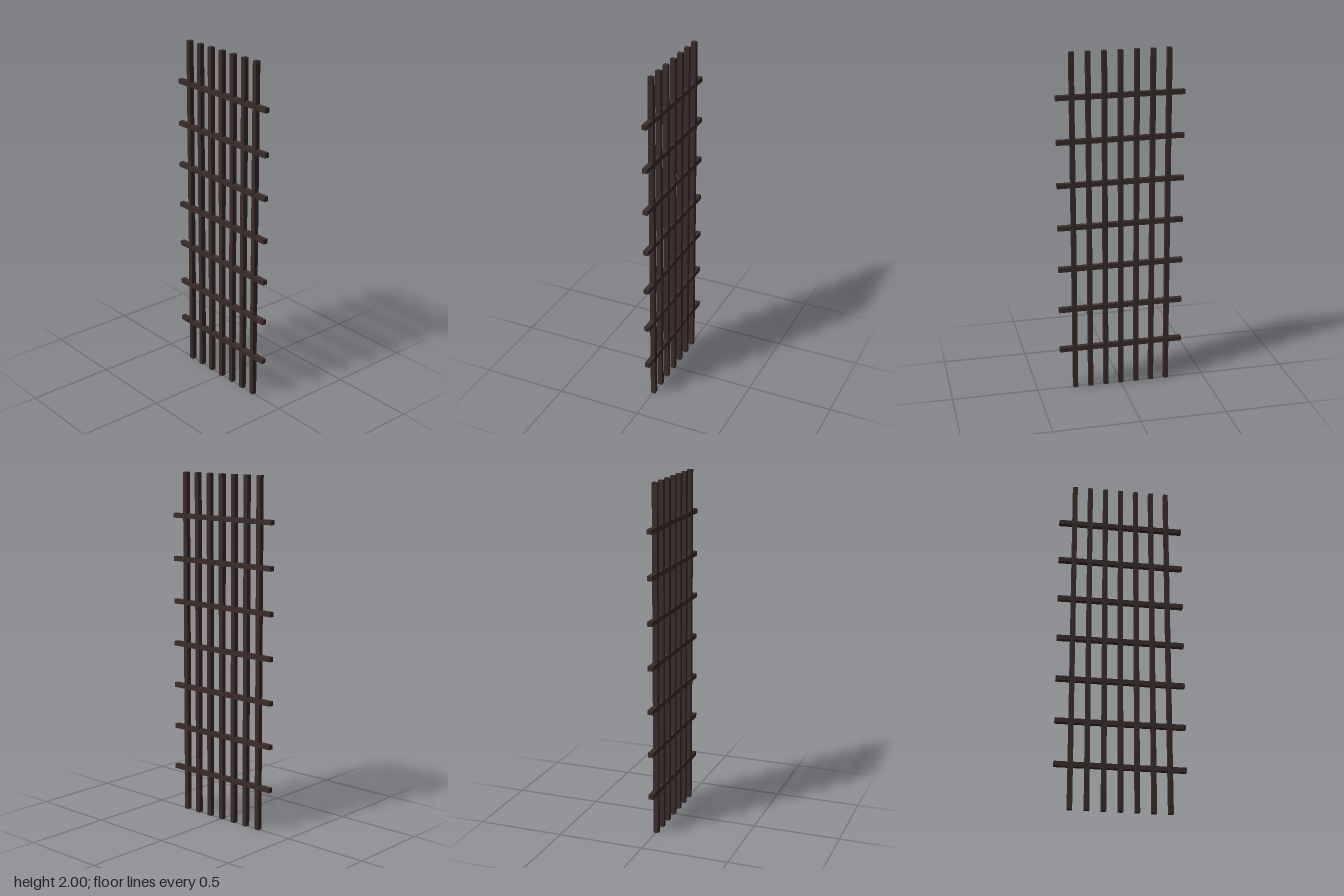
import * as THREE from 'three';

export function createModel() {
  const grille = new THREE.Group();
  grille.name = 'grille';
  const iron = new THREE.MeshStandardMaterial({ color: 0x3a2c2b });

  const addBars = (name, geometry, count, place) => {
    const group = new THREE.Group();
    group.name = name + 's';
    for (let i = 0; i < count; i++) {
      const bar = new THREE.Mesh(geometry, iron);
      bar.name = name;
      place(bar.position, i);
      group.add(bar);
    }
    grille.add(group);
  };

  // Seven upright bars, full height
  addBars('uprightBar', new THREE.BoxGeometry(0.027, 2, 0.029), 7,
    (p, i) => p.set((i - 3) * 0.0915, 1, 0));

  // Seven crossbars, overhanging the uprights on both sides
  addBars('crossbar', new THREE.BoxGeometry(0.73, 0.027, 0.0285), 7,
    (p, i) => p.set(0, 0.25 * (i + 1), 0));

  // The grille hangs a hair out of square
  grille.rotation.y = 0.004;

  const model = new THREE.Group();
  model.name = 'barredGrille';
  model.add(grille);
  return model;
}
